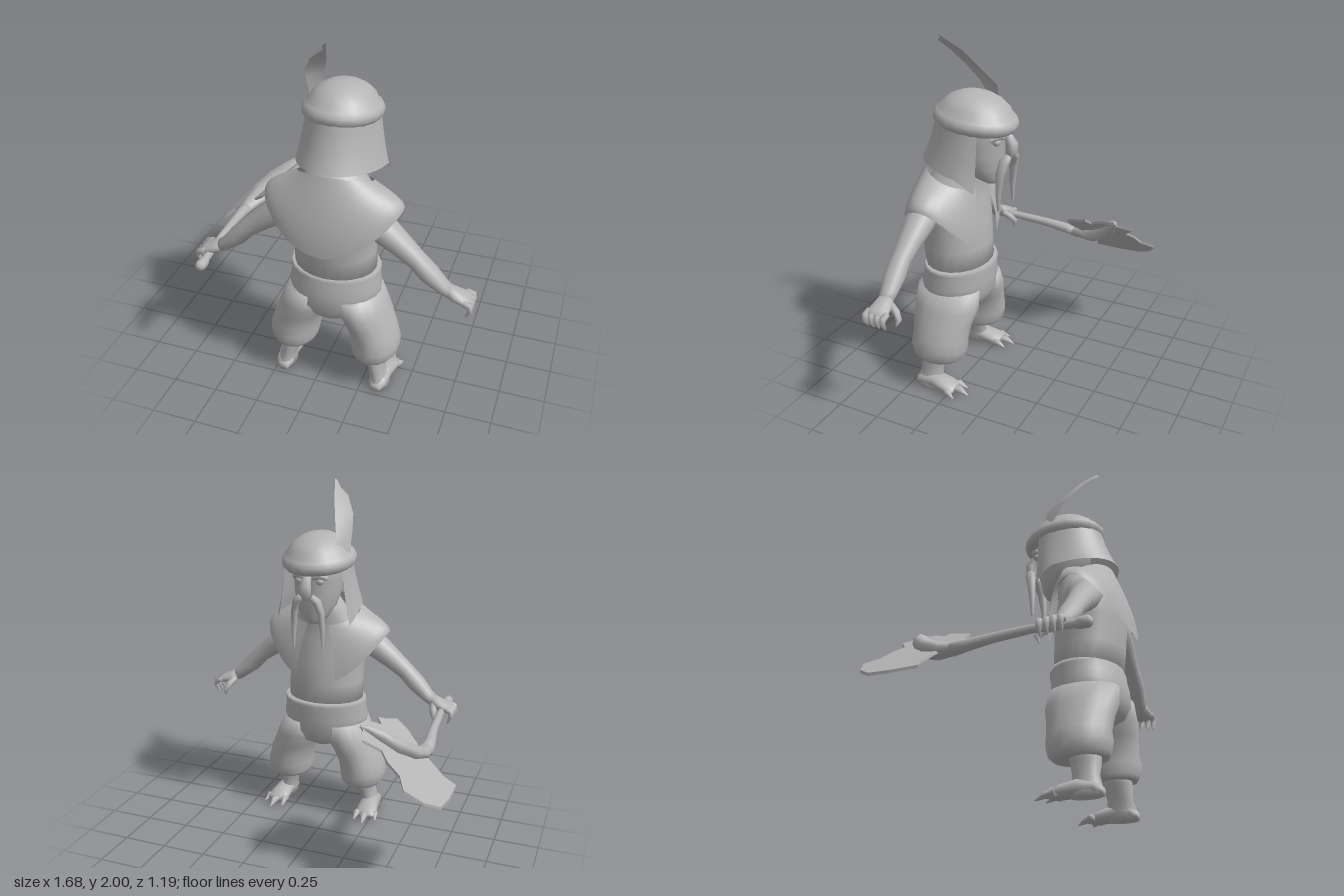
import * as THREE from 'three';

const CX = 0.07; // the body's mirror line
const V = (x, y, z) => new THREE.Vector3(x, y, z);

function gridGeometry(points, rows, cols, closed) {
  const index = [];
  for (let i = 0; i < rows - 1; i++) {
    for (let j = 0; j < (closed ? cols : cols - 1); j++) {
      const k = (j + 1) % cols;
      const a = i * cols + j, b = i * cols + k, c = a + cols, d = b + cols;
      index.push(a, b, d, a, d, c);
    }
  }
  const g = new THREE.BufferGeometry().setFromPoints(points);
  g.setIndex(index);
  g.computeVertexNormals();
  return g;
}

// Skin of elliptical sections [x, y, z, radiusA, radiusB]; radiusA lies along ref.
// With a fixed axis all rings stay parallel, otherwise they follow the path.
function loft(sections, ref, axis = null, seg = 14) {
  const first = [...sections[0]], last = [...sections.at(-1)];
  first[3] = first[4] = last[3] = last[4] = 0.0001;
  const all = [first, ...sections, last];
  const n = sections.length, points = [];
  all.forEach(([x, y, z, ra, rb], i) => {
    const k = THREE.MathUtils.clamp(i - 1, 0, n - 1);
    const p = sections[Math.max(k - 1, 0)], q = sections[Math.min(k + 1, n - 1)];
    const t = axis ? axis.clone() : V(q[0] - p[0], q[1] - p[1], q[2] - p[2]).normalize();
    const a = ref.clone().addScaledVector(t, -ref.dot(t)).normalize();
    const b = t.clone().cross(a);
    for (let j = 0; j < seg; j++) {
      const w = j / seg * Math.PI * 2;
      points.push(V(x, y, z).addScaledVector(a, ra * Math.cos(w)).addScaledVector(b, rb * Math.sin(w)));
    }
  });
  return gridGeometry(points, all.length, seg, true);
}

// Open sheet from a rule f(u, v), u and v from 0 to 1
function sheet(rows, cols, f) {
  const points = [];
  for (let i = 0; i < rows; i++)
    for (let j = 0; j < cols; j++) points.push(f(i / (rows - 1), j / (cols - 1)));
  return gridGeometry(points, rows, cols, false);
}

export function createModel() {
  const model = new THREE.Group();
  model.name = 'axeWarrior';
  const grey = new THREE.MeshStandardMaterial({ color: 0xb4b4b4, side: THREE.DoubleSide });
  grey.name = 'grey';
  const add = (name, geometry, parent = model) => {
    const m = new THREE.Mesh(geometry, grey);
    m.name = name;
    parent.add(m);
    return m;
  };
  const X = V(1, 0, 0), Y = V(0, 1, 0), Z = V(0, 0, 1);
  const upright = rings => loft(rings.map(([y, z, rx, rz]) => [CX, y, z, rx, rz]), X, Y, 20);

  // Torso, hips and waistband: [y, z, rx, rz]
  add('torso', upright([[0.70, 0.325, 0.225, 0.18], [0.85, 0.335, 0.222, 0.19], [1.0, 0.345, 0.225, 0.195],
    [1.13, 0.36, 0.25, 0.18], [1.22, 0.34, 0.2, 0.16], [1.28, 0.3, 0.13, 0.13], [1.36, 0.25, 0.1, 0.11]]));
  add('trouserHips', upright([[0.44, 0.335, 0.06, 0.1], [0.48, 0.335, 0.17, 0.17], [0.55, 0.335, 0.25, 0.2],
    [0.63, 0.33, 0.255, 0.203], [0.68, 0.325, 0.245, 0.198], [0.72, 0.32, 0.248, 0.198], [0.74, 0.32, 0.244, 0.192]]));

  for (const s of [-1, 1]) {
    const side = s < 0 ? 'right' : 'left';
    const at = rows => rows.map(([x, ...rest]) => [CX + s * x, ...rest]);

    // Baggy trouser leg, shin and foot
    add(side + 'TrouserLeg', loft(at([[0.23, 0.205, 0.35, 0.095, 0.12], [0.23, 0.2, 0.35, 0.115, 0.14],
      [0.235, 0.225, 0.345, 0.13, 0.16], [0.235, 0.28, 0.345, 0.138, 0.172], [0.225, 0.34, 0.34, 0.132, 0.168],
      [0.195, 0.42, 0.34, 0.135, 0.178], [0.155, 0.5, 0.335, 0.14, 0.195], [0.125, 0.6, 0.335, 0.128, 0.19]]), X, Y, 18));
    add(side + 'Shin', loft(at([[0.24, 0.26, 0.36, 0.07, 0.09], [0.245, 0.19, 0.38, 0.06, 0.08],
      [0.26, 0.11, 0.385, 0.045, 0.068], [0.275, 0.05, 0.39, 0.05, 0.08], [0.28, 0.005, 0.39, 0.058, 0.085]]), X, Y));
    add(side + 'Foot', loft(at([[0.275, 0.025, 0.475, 0.03, 0.022], [0.278, 0.04, 0.44, 0.05, 0.038],
      [0.282, 0.05, 0.35, 0.055, 0.046], [0.288, 0.038, 0.27, 0.064, 0.036], [0.29, 0.028, 0.215, 0.06, 0.024]]), X, Z));
    for (const [x0, x1, tip] of [[0.245, 0.235, 0.17], [0.29, 0.297, 0.135], [0.33, 0.362, 0.195]])
      add(side + 'Toe', loft(at([[x0, 0.025, 0.25, 0.022, 0.02], [(x0 + x1) / 2, 0.034, tip + 0.05, 0.022, 0.02],
        [x1, 0.01, tip, 0.003, 0.004]]), X, null, 8));

    // Arm, hand, fingers and thumb
    const arm = new THREE.Group();
    arm.name = side + 'Arm';
    model.add(arm);
    add('arm', loft(at([[0.19, 1.13, 0.41, 0.085, 0.07], [0.28, 1.05, 0.41, 0.085, 0.075], [0.38, 0.975, 0.415, 0.068, 0.06],
      [0.46, 0.91, 0.42, 0.058, 0.05], [0.53, 0.84, 0.42, 0.06, 0.052], [0.6, 0.775, 0.415, 0.047, 0.038],
      [0.635, 0.75, 0.412, 0.042, 0.034]]), Z), arm);
    add('hand', loft(at([[0.62, 0.76, 0.412, 0.04, 0.033], [0.67, 0.735, 0.41, 0.055, 0.034],
      [0.72, 0.722, 0.407, 0.062, 0.026], [0.745, 0.715, 0.407, 0.055, 0.018]]), Z), arm);
    for (let i = 0; i < 4; i++) {
      const z = 0.352 + i * 0.036;
      add('finger', loft(at([[0.715, 0.725, z, 0.017, 0.018], [0.752, 0.715, z, 0.018, 0.018],
        [0.757, 0.685, z, 0.016, 0.015], [0.737, 0.645, z, 0.004, 0.004]]), Z, null, 8), arm);
    }
    add('thumb', loft(at([[0.64, 0.735, 0.38, 0.02, 0.022], [0.655, 0.71, 0.335, 0.02, 0.02],
      [0.672, 0.68, 0.31, 0.018, 0.016], [0.68, 0.64, 0.325, 0.004, 0.004]]), X, null, 8), arm);

    // Long moustache, eye and brow
    add(side + 'Moustache', loft(at([[0.03, 1.41, 0.0, 0.02, 0.02], [0.06, 1.385, 0.01, 0.022, 0.03],
      [0.078, 1.32, 0.025, 0.02, 0.026], [0.085, 1.21, 0.033, 0.014, 0.017], [0.085, 1.11, 0.033, 0.005, 0.008]]), X, null, 8));
    const eye = add(side + 'Eye', new THREE.SphereGeometry(0.022, 10, 8));
    eye.position.set(CX + s * 0.06, 1.49, 0.055);
    add(side + 'Brow', loft(at([[0.025, 1.515, 0.025, 0.018, 0.012], [0.06, 1.525, 0.035, 0.02, 0.014],
      [0.1, 1.505, 0.07, 0.012, 0.008]]), Y, null, 8));
  }

  // Head with jaw and hooked nose
  add('head', upright([[1.235, 0.12, 0.03, 0.03], [1.27, 0.14, 0.075, 0.07], [1.33, 0.17, 0.11, 0.11],
    [1.4, 0.19, 0.13, 0.145], [1.47, 0.2, 0.138, 0.155], [1.54, 0.2, 0.145, 0.175], [1.62, 0.2, 0.13, 0.16]]));
  add('nose', loft([[CX, 1.55, 0.05, 0.018, 0.02], [CX, 1.51, 0.015, 0.025, 0.025], [CX, 1.47, -0.01, 0.034, 0.03],
    [CX, 1.43, -0.01, 0.036, 0.027], [CX, 1.395, 0.0, 0.015, 0.014]], X, null, 10));

  // Shoulder mantle, open at the front, hanging low at front and back
  add('mantle', sheet(9, 33, (u, v) => {
    const w = (v * 2 - 1) * (Math.PI - 0.32), c = Math.cos(w);
    const spread = Math.sin(u * Math.PI / 2);
    const top = 1.27 + 0.065 * c, bottom = 1.15 - (c > 0 ? 0.23 : 0.29) * c * c;
    const rx = THREE.MathUtils.lerp(0.2, 0.37, spread), rz = THREE.MathUtils.lerp(0.155, 0.223, spread);
    return V(CX + rx * Math.sin(w), THREE.MathUtils.lerp(top, bottom, u), 0.33 + 0.032 * spread + rz * c);
  }));

  // Neck guard under the cap, open at the face
  add('neckGuard', sheet(6, 25, (u, v) => {
    const w = (v * 2 - 1) * 2.03, c = Math.cos(w);
    const flare = u ** 1.3 + (u === 1 ? 0.05 : 0);
    const rx = 0.185 + 0.05 * flare, rz = c > 0 ? 0.23 + 0.08 * flare : 0.2;
    const bottom = c > 0 ? 1.31 + 0.05 * c : 1.31 + 0.16 * c;
    return V(CX + rx * Math.sin(w), THREE.MathUtils.lerp(1.59, bottom, u), 0.2 + rz * c);
  }));

  // Cap with rolled brim, tipped towards the face
  const profile = [[0.165, -0.045], [0.195, -0.042], [0.212, -0.022], [0.212, 0.005], [0.198, 0.028], [0.182, 0.038],
    [0.168, 0.068], [0.135, 0.1], [0.09, 0.125], [0.045, 0.136], [0, 0.138]];
  const cap = add('cap', new THREE.LatheGeometry(profile.map(p => new THREE.Vector2(...p)), 20));
  cap.scale.set(0.97, 1, 1.11);
  cap.rotation.x = -0.12;
  cap.position.set(CX, 1.593, 0.205);

  // Curved feather between its two edges
  const edgeA = [V(-0.06, 1.64, 0.13), V(-0.05, 1.74, 0.14), V(-0.01, 1.84, 0.23), V(0.02, 1.925, 0.31), V(0.06, 2, 0.42)];
  const edgeB = [V(-0.11, 1.62, 0.2), V(-0.1, 1.74, 0.27), V(-0.08, 1.82, 0.34), V(-0.025, 1.91, 0.41), V(0.05, 1.97, 0.435)];
  add('feather', sheet(5, 3, (u, v) => {
    const i = Math.round(u * 4);
    return edgeA[i].clone().lerp(edgeB[i], v).add(V(v === 0.5 ? -0.012 : 0, 0, 0));
  }));

  // Axe: handle with knob, swollen hooked head, slanted blade
  const axe = new THREE.Group();
  axe.name = 'axe';
  model.add(axe);
  add('axeHandle', loft([[-0.62, 0.70, 0.59, 0.015, 0.015], [-0.62, 0.70, 0.575, 0.03, 0.03], [-0.621, 0.70, 0.53, 0.03, 0.03],
    [-0.623, 0.70, 0.5, 0.022, 0.022], [-0.63, 0.71, 0.3, 0.022, 0.022], [-0.642, 0.695, 0.1, 0.025, 0.026],
    [-0.655, 0.675, -0.03, 0.034, 0.03], [-0.655, 0.665, -0.11, 0.042, 0.034]], X, null, 10), axe);
  add('axeHead', loft([[-0.655, 0.667, -0.07, 0.036, 0.03], [-0.645, 0.675, -0.16, 0.052, 0.035],
    [-0.605, 0.71, -0.25, 0.075, 0.045], [-0.545, 0.765, -0.33, 0.07, 0.045], [-0.475, 0.83, -0.38, 0.05, 0.035],
    [-0.42, 0.88, -0.42, 0.025, 0.02], [-0.395, 0.895, -0.44, 0.004, 0.004]], X, null, 10), axe);
  const outline = [[-0.67, -0.6], [-0.76, -0.55], [-0.825, -0.46], [-0.84, -0.33], [-0.84, -0.175], [-0.78, -0.2], [-0.7, -0.18],
    [-0.64, -0.16], [-0.55, -0.1], [-0.49, -0.1], [-0.455, -0.19], [-0.425, -0.24], [-0.455, -0.27], [-0.41, -0.34], [-0.395, -0.43],
    [-0.415, -0.45], [-0.435, -0.53], [-0.515, -0.465], [-0.56, -0.51], [-0.63, -0.525]];
  const blade = new THREE.ExtrudeGeometry(new THREE.Shape(outline.map(([x, z]) => new THREE.Vector2(x, -z))),
    { depth: 0.016, bevelEnabled: false });
  blade.rotateX(-Math.PI / 2);
  const pos = blade.attributes.position;
  for (let i = 0; i < pos.count; i++)
    pos.setY(i, pos.getY(i) + 0.512 + 0.84 * (pos.getX(i) + 0.84));
  blade.computeVertexNormals();
  add('axeBlade', blade, axe);

  return model;
}
